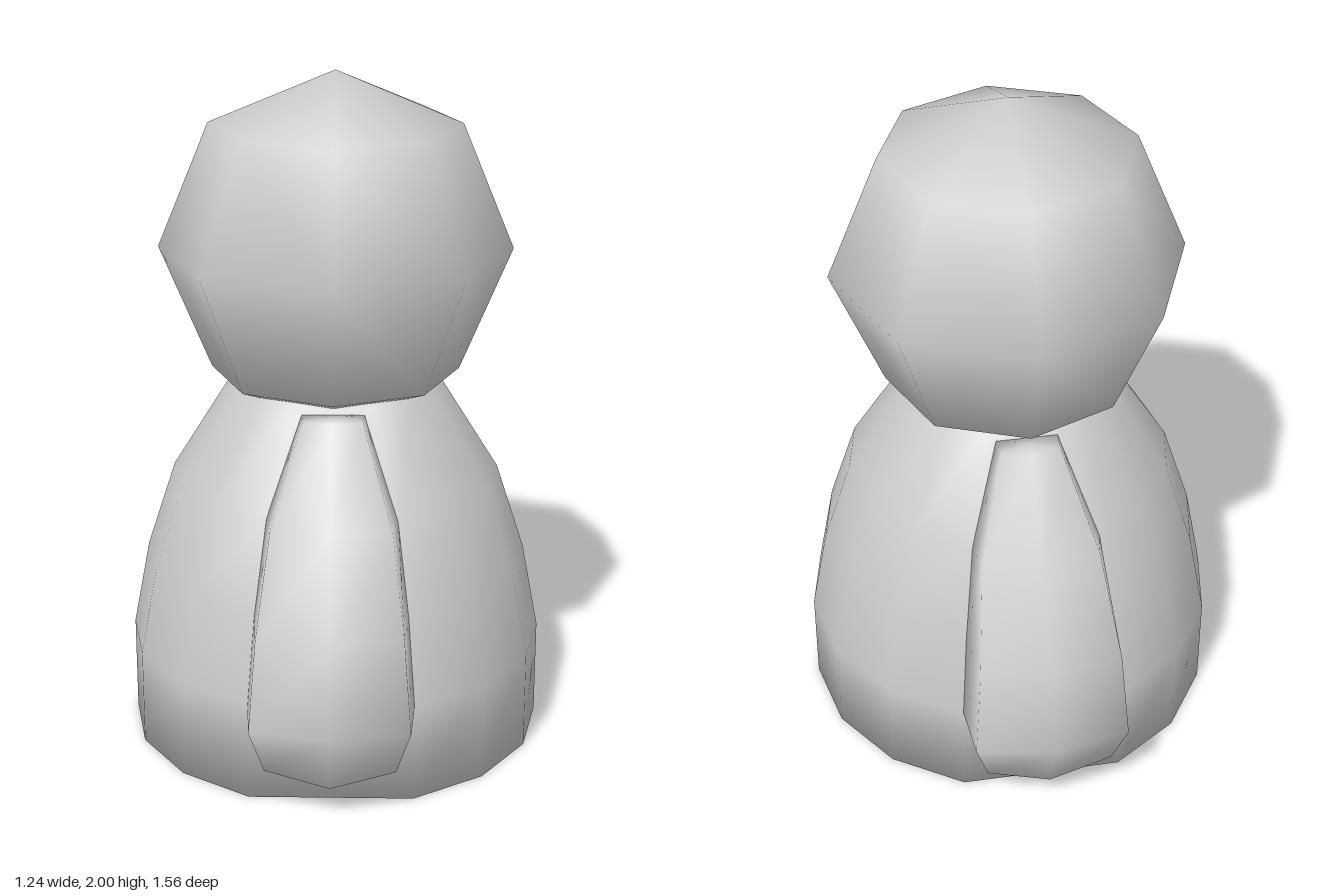
import * as THREE from 'three';

const grey = new THREE.MeshStandardMaterial({ color: 0xcccccc });
grey.name = 'plain grey';

// Closed smooth surface through rings of points, listed bottom to top, anticlockwise from above
function loft(rings) {
  const n = rings[0].length;
  const points = rings.flat();
  const index = [];
  for (let i = 0; i < rings.length - 1; i++) {
    for (let j = 0; j < n; j++) {
      const a = i * n + j, b = i * n + (j + 1) % n;
      index.push(a, b, b + n, a, b + n, a + n);
    }
  }
  const addCap = (ring, start, top) => {
    const centre = ring.reduce((s, p) => s.map((v, k) => v + p[k] / n), [0, 0, 0]);
    const c = points.push(centre) - 1;
    for (let j = 0; j < n; j++) {
      const a = start + j, b = start + (j + 1) % n;
      index.push(c, ...(top ? [a, b] : [b, a]));
    }
  };
  addCap(rings[0], 0, false);
  addCap(rings.at(-1), (rings.length - 1) * n, true);
  const geometry = new THREE.BufferGeometry();
  geometry.setAttribute('position', new THREE.Float32BufferAttribute(points.flat(), 3));
  geometry.setIndex(index);
  geometry.computeVertexNormals();
  return geometry;
}

function addPart(group, name, geometry) {
  const mesh = new THREE.Mesh(geometry, grey);
  mesh.name = name;
  group.add(mesh);
  return mesh;
}

export function createModel() {
  const group = new THREE.Group();
  group.name = 'figure';

  // Head: coarse smooth ball
  addPart(group, 'head', new THREE.SphereGeometry(0.517, 8, 4)).position.y = 1.483;

  // Body: bell with flat sides where the arms join
  const steps = [...Array(16).keys()].filter(k => k !== 4 && k !== 12);
  const profile = [[0.62, 0], [0.62, 0.29], [0.57, 0.55], [0.485, 0.81], [0.31, 1.09], [0.25, 1.115]];
  addPart(group, 'body', loft(profile.map(([r, y]) => steps.map(k => {
    const a = k * Math.PI / 8;
    return [r * Math.cos(a), y, -r * Math.sin(a)];
  }))));

  // Arm rows: side y, middle y, root x, root z, outer x, outer z, middle z, inner middle z
  const armRows = [
    [0.15, 0.10, 0.195, 0.57, 0.185, 0.69, 0.70, 0.62],
    [0.29, 0.29, 0.237, 0.57, 0.225, 0.735, 0.78, 0.56],
    [0.55, 0.55, 0.218, 0.52, 0.205, 0.70, 0.735, 0.51],
    [0.81, 0.81, 0.186, 0.44, 0.17, 0.53, 0.56, 0.43],
    [1.07, 1.07, 0.09, 0.29, 0.085, 0.36, 0.38, 0.28],
  ];
  const arm = loft(armRows.map(([y, my, rx, rz, ox, oz, mz, iz]) => [
    [-rx, y, rz], [-ox, y, oz], [0, my, mz], [ox, y, oz], [rx, y, rz], [0, my, iz],
  ]));
  addPart(group, 'frontArm', arm);
  addPart(group, 'backArm', arm).rotation.y = Math.PI;

  return group;
}
